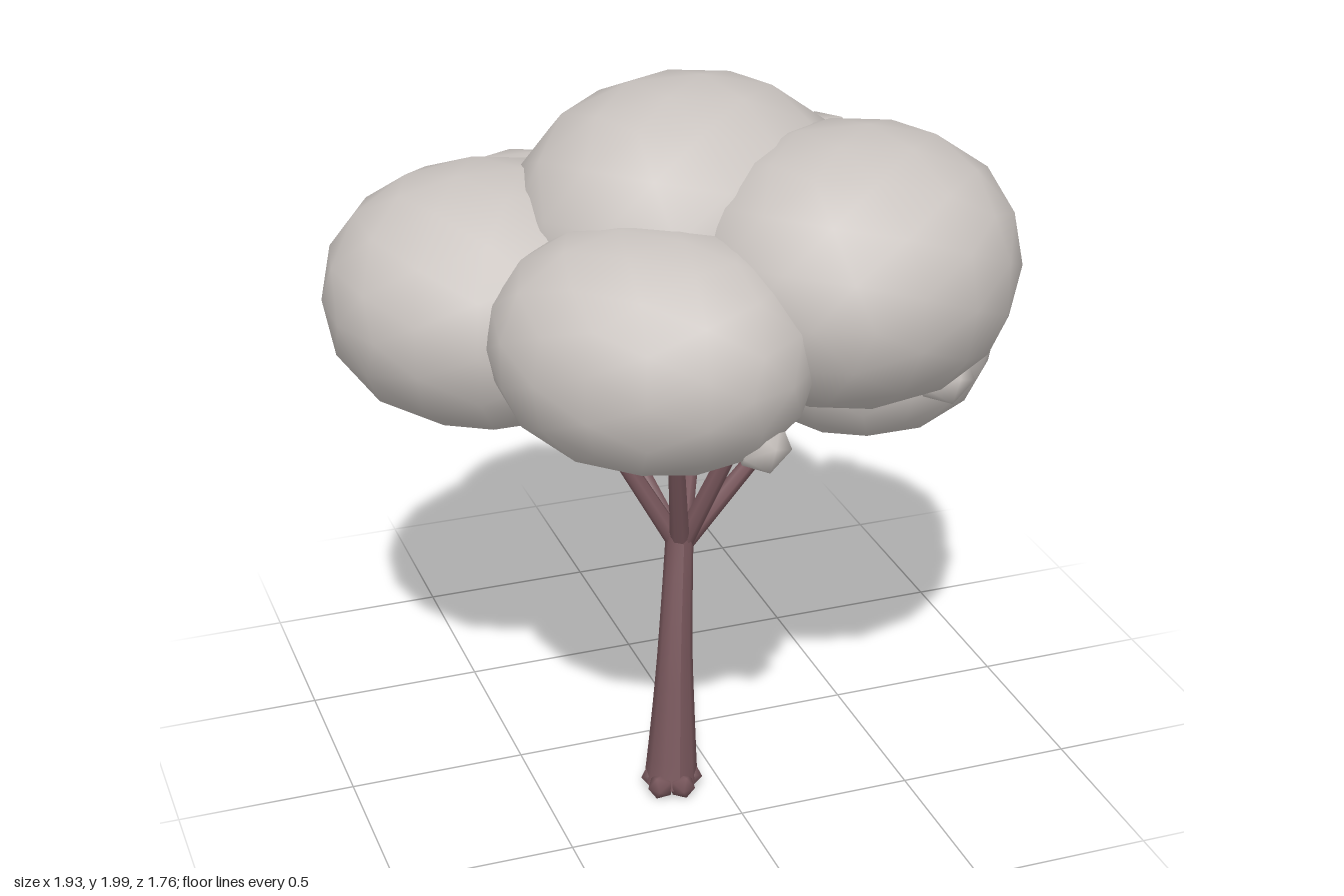
import * as THREE from 'three';
import { mergeVertices } from 'three/addons/utils/BufferGeometryUtils.js';

const V = (x, y, z) => new THREE.Vector3(x, y, z);

// Smooth low-poly ball; a power above 2 makes its side profile squarer
function ball(detail, power) {
  const raw = new THREE.IcosahedronGeometry(1, detail);
  raw.deleteAttribute('normal');
  raw.deleteAttribute('uv');
  const g = mergeVertices(raw, 1e-4);
  const p = g.attributes.position;
  for (let i = 0; i < p.count; i++) {
    const v = V().fromBufferAttribute(p, i);
    const k = Math.hypot(v.x, v.z) ** power + Math.abs(v.y) ** power;
    v.multiplyScalar(k ** (-1 / power));
    p.setXYZ(i, v.x, v.y, v.z);
  }
  g.computeVertexNormals();
  return g;
}

export function createModel() {
  const tree = new THREE.Group();
  tree.name = 'tree';
  const leaf = new THREE.MeshStandardMaterial({ color: 0xcbc5c1 });
  leaf.name = 'pale foliage';
  const bark = new THREE.MeshStandardMaterial({ color: 0x76555a });
  bark.name = 'brown bark';

  const add = (name, geometry, material) => {
    const mesh = new THREE.Mesh(geometry, material);
    mesh.name = name;
    tree.add(mesh);
    return mesh;
  };

  // Foliage clumps: name, centre, radii, turn about y
  const q = Math.PI / 4;
  const clumpShape = ball(2, 2.25);
  [
    ['crownClump', [0.005, 1.605, 0.01], [0.525, 0.395, 0.465], q],
    ['frontLeftClump', [0.335, 1.59, 0.385], [0.485, 0.355, 0.445], q],
    ['frontRightClump', [-0.25, 1.465, 0.465], [0.44, 0.31, 0.375], -q],
    ['rightClump', [-0.51, 1.435, -0.1], [0.465, 0.345, 0.465], 0],
    ['backRightClump', [-0.33, 1.355, -0.455], [0.375, 0.315, 0.335], q],
    ['backLeftClump', [0.25, 1.275, -0.47], [0.45, 0.337, 0.4], -q],
    ['leftClump', [0.58, 1.175, -0.11], [0.39, 0.297, 0.395], 0],
  ].forEach(([name, c, r, turn]) => {
    const m = add(name, clumpShape, leaf);
    m.position.set(...c);
    m.scale.set(...r);
    m.rotation.y = turn;
  });

  // Small faceted buds on the clumps: centre x, y, z, radius
  const budShape = ball(0, 2);
  [
    [-0.05, 1.28, 0.735, 0.08],
    [0.53, 1.315, 0.57, 0.085],
    [0.745, 1.425, 0.01, 0.095],
    [0.655, 1.53, -0.18, 0.103],
    [0.455, 1.75, -0.11, 0.085],
  ].forEach(([x, y, z, r], i) => {
    const m = add('bud' + (i + 1), budShape, leaf);
    m.position.set(x, y, z);
    m.scale.setScalar(r);
    m.quaternion.setFromUnitVectors(V(1, 1, 1).normalize(), V(0, 1, 0));
  });

  // Bent tapering trunk: a unit cylinder whose rings follow a curve
  const path = new THREE.CatmullRomCurve3([
    V(-0.14, 0.03, 0.295), V(-0.122, 0.23, 0.265), V(-0.104, 0.43, 0.232), V(-0.066, 0.74, 0.162),
  ]);
  const trunk = new THREE.CylinderGeometry(1, 1, 1, 10, 8);
  const p = trunk.attributes.position;
  for (let i = 0; i < p.count; i++) {
    const t = p.getY(i) + 0.5;
    const c = path.getPoint(t);
    const r = 0.076 - 0.05 * t + 0.013 * t * t;
    p.setXYZ(i, c.x + p.getX(i) * r, c.y, c.z + p.getZ(i) * r);
  }
  trunk.computeVertexNormals();
  add('trunk', trunk, bark);

  // Root lumps around the foot
  for (let i = 0; i < 5; i++) {
    const a = (i / 5) * Math.PI * 2;
    const m = add('root' + (i + 1), budShape, bark);
    m.position.set(-0.143 + Math.cos(a) * 0.05, 0.038, 0.31 + Math.sin(a) * 0.045);
    m.scale.set(0.042, 0.038, 0.038);
    m.rotation.y = -a;
  }

  // Branches fan out from the fork into the clumps
  const fork = V(-0.065, 0.7, 0.165);
  [
    [0.16, 1.29, 0.3], [-0.14, 1.2, 0.33], [-0.33, 1.18, 0.05],
    [-0.23, 1.15, -0.2], [0.13, 1.04, -0.21], [0.35, 0.99, -0.01],
  ].forEach((end, i) => {
    const tip = V(...end);
    const dir = tip.clone().sub(fork);
    const m = add('branch' + (i + 1), new THREE.CylinderGeometry(0.02, 0.029, dir.length(), 7), bark);
    m.position.copy(fork).add(tip).multiplyScalar(0.5);
    m.quaternion.setFromUnitVectors(V(0, 1, 0), dir.normalize());
  });

  return tree;
}
